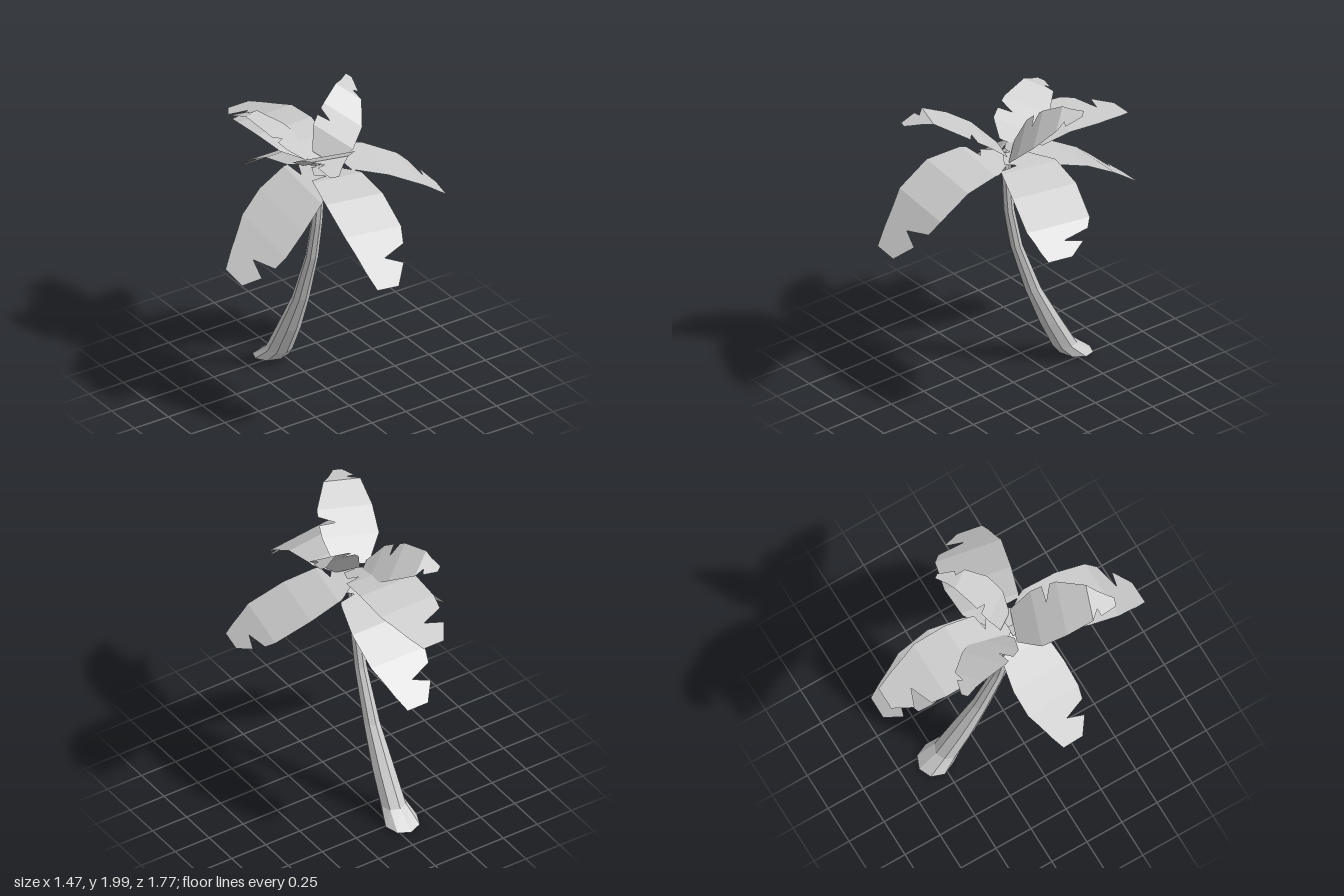
import * as THREE from 'three';

const material = new THREE.MeshStandardMaterial({ color: 0xcccccc, flatShading: true, side: THREE.DoubleSide });

// Leaf outlines, base to tip: [position on left edge, left width, position on right edge, right width].
// Whole positions are the folds of the leaf; the sudden width changes are tears.
const longOutline = [
  [0, 0.25, 0, -0.25], [0.5, 0.6, 0.55, -0.5], [0.75, 0.8, 0.75, -0.2], [0.9, 0.9, 0.85, -0.75],
  [1, 0.92, 1, -0.8], [2, 1, 2, -1], [3, 0.98, 3, -1], [3.3, 0.88, 3.3, -0.83],
  [3.48, 0.12, 3.5, -0.73], [3.62, 0.7, 3.65, -0.66], [4, 0.3, 4, -0.45],
];
const shortOutline = [
  [0, 0.6, 0, -0.6], [1, 1, 1, -1], [1.45, 1, 1.45, -1], [1.5, 0.4, 1.5, -1], [1.75, 0.97, 1.75, -1],
  [2, 0.95, 2, -1], [3, 0.5, 3, -0.8], [3.2, 0.4, 3.25, -0.35], [3.4, 0.3, 3.35, -0.6], [4, 0.1, 4, -0.2],
];

// Each leaf: spine points from crown to tip, and the vector from spine to left edge
const leaves = [
  { name: 'leftLeaf', outline: longOutline, side: [0.04, 0, -0.215],
    spine: [[-0.05, 1.62, -0.02], [0.14, 1.6, 0], [0.34, 1.535, 0.02], [0.56, 1.42, 0.08], [0.72, 1.285, 0.17]] },
  { name: 'rightLeaf', outline: longOutline, side: [0.03, -0.07, 0.2],
    spine: [[-0.06, 1.6, 0], [-0.2, 1.53, 0.02], [-0.36, 1.4, 0.04], [-0.5, 1.27, 0.06], [-0.725, 1.05, 0.08]] },
  { name: 'frontLeaf', outline: longOutline, side: [0.21, -0.025, 0],
    spine: [[-0.06, 1.6, 0], [-0.08, 1.63, 0.22], [-0.09, 1.59, 0.44], [-0.09, 1.46, 0.65], [-0.12, 1.185, 0.885]] },
  { name: 'lowerBackLeaf', outline: longOutline, side: [-0.2, 0, 0],
    spine: [[-0.03, 1.61, 0], [0, 1.56, -0.2], [0.02, 1.5, -0.41], [0.02, 1.375, -0.62], [0.03, 1.17, -0.875]] },
  { name: 'upperBackLeaf', outline: longOutline, side: [-0.2, 0, 0],
    spine: [[-0.04, 1.63, 0], [-0.06, 1.69, -0.18], [-0.08, 1.72, -0.35], [-0.08, 1.7, -0.57], [-0.08, 1.61, -0.885]] },
  { name: 'raisedFrontLeaf', outline: shortOutline, side: [0.17, 0.01, 0.06],
    spine: [[-0.07, 1.64, 0.03], [-0.14, 1.76, 0.15], [-0.19, 1.86, 0.3], [-0.25, 1.94, 0.46], [-0.33, 1.9, 0.6]] },
  { name: 'raisedBackRightLeaf', outline: shortOutline, side: [-0.12, 0.045, 0.085],
    spine: [[-0.08, 1.64, -0.06], [-0.14, 1.71, -0.13], [-0.21, 1.79, -0.26], [-0.3, 1.85, -0.4], [-0.37, 1.82, -0.49]] },
  { name: 'raisedBackLeftLeaf', outline: shortOutline, side: [-0.08, 0.065, -0.1],
    spine: [[-0.02, 1.64, 0], [0.06, 1.76, -0.02], [0.16, 1.86, -0.07], [0.25, 1.96, -0.17], [0.34, 1.985, -0.28]] },
];

// A folded strip of quads following the spine
function makeLeaf({ name, outline, side, spine }) {
  const points = spine.map((p) => new THREE.Vector3(...p));
  const across = new THREE.Vector3(...side);
  const edgePoint = (t, width) => {
    const i = Math.min(Math.floor(t), points.length - 2);
    return points[i].clone().lerp(points[i + 1], t - i).addScaledVector(across, width);
  };
  const corners = [];
  for (const [tl, vl, tr, vr] of outline) corners.push(edgePoint(tl, vl), edgePoint(tr, vr));
  const index = [];
  for (let i = 0; i < corners.length - 2; i += 2) index.push(i + 1, i + 3, i + 2, i + 1, i + 2, i);
  const geometry = new THREE.BufferGeometry().setFromPoints(corners);
  geometry.setIndex(index);
  const flat = geometry.toNonIndexed();
  flat.computeVertexNormals();
  const mesh = new THREE.Mesh(flat, material);
  mesh.name = name;
  return mesh;
}

// Leaning trunk: an eight-sided cylinder whose rings are moved onto a curve
function makeTrunk() {
  // [x, y, z, radius, slope of the ring]
  const rings = [
    [-0.065, 0.017, -0.525, 0.115, 0.14], [-0.062, 0.105, -0.435, 0.083, 0], [-0.062, 0.31, -0.325, 0.074, 0],
    [-0.063, 0.58, -0.195, 0.054, 0], [-0.065, 0.93, -0.07, 0.041, 0], [-0.065, 1.2, -0.015, 0.036, 0],
    [-0.06, 1.4, 0.005, 0.031, 0], [-0.055, 1.6, 0.015, 0.028, 0],
  ];
  const steps = rings.length - 1;
  const cylinder = new THREE.CylinderGeometry(1, 1, steps, 8, steps);
  const position = cylinder.attributes.position;
  for (let i = 0; i < position.count; i++) {
    const [x, y, z, r, slope] = rings[Math.round(position.getY(i) + steps / 2)];
    const dz = position.getZ(i) * r;
    position.setXYZ(i, x + position.getX(i) * r, y + dz * slope, z + dz);
  }
  const geometry = cylinder.toNonIndexed();
  geometry.computeVertexNormals();
  const mesh = new THREE.Mesh(geometry, material);
  mesh.name = 'trunk';
  return mesh;
}

export function createModel() {
  const palm = new THREE.Group();
  palm.name = 'palmTree';
  const crown = new THREE.Group();
  crown.name = 'crown';
  crown.add(...leaves.map(makeLeaf));
  palm.add(makeTrunk(), crown);
  return palm;
}
